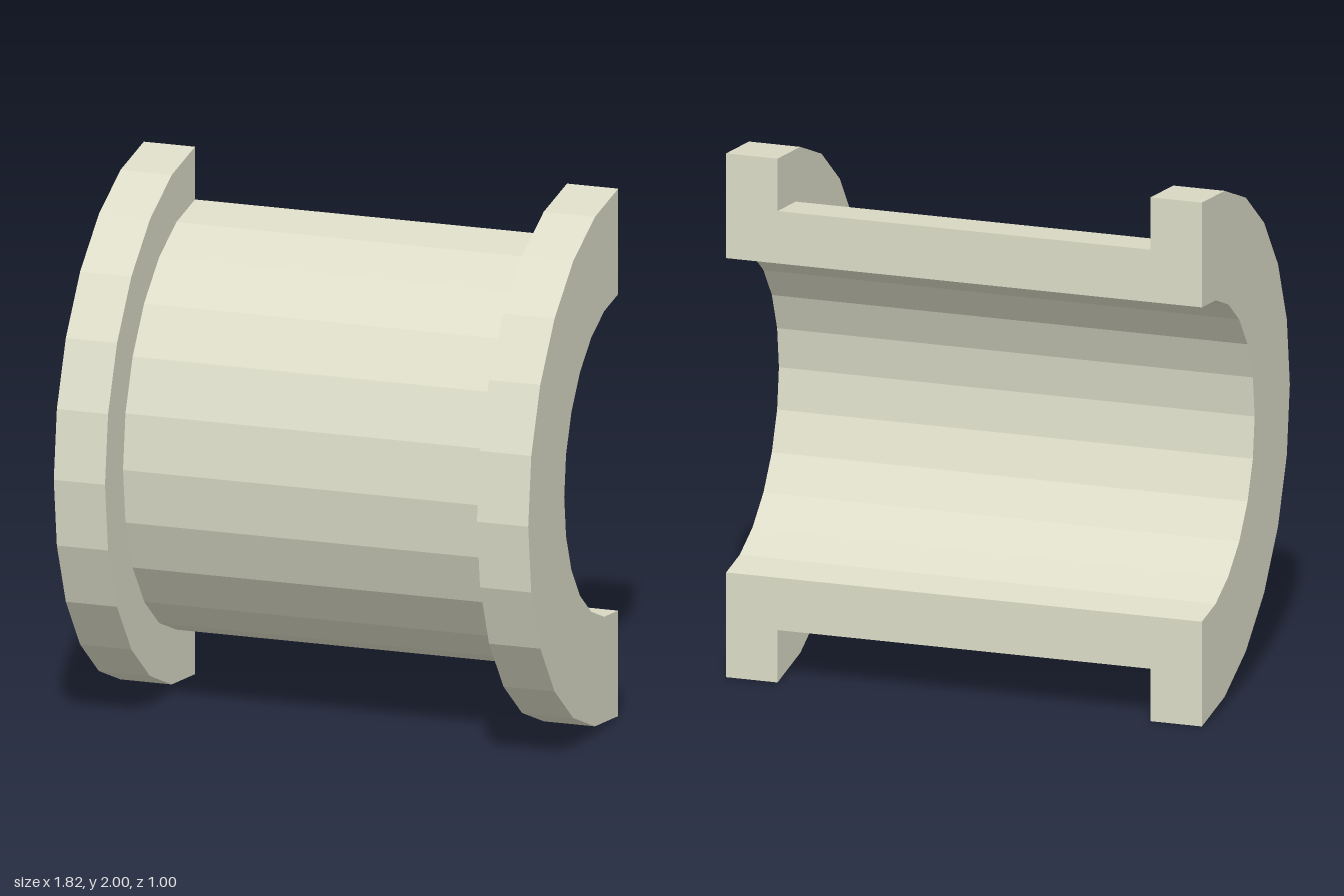
import * as THREE from 'three';

const BORE = 0.6, BODY = 0.8, FLANGE = 1;   // radii
const END = 0.912, SHOULDER = 0.715;        // half lengths along x

export function createModel() {
  const group = new THREE.Group();
  group.name = 'halfBushing';
  const material = new THREE.MeshStandardMaterial({ color: 0xdcdcc8, flatShading: true });

  // Closed wall section as (radius, position along axis)
  const section = [
    [BORE, -END], [FLANGE, -END], [FLANGE, -SHOULDER], [BODY, -SHOULDER],
    [BODY, SHOULDER], [FLANGE, SHOULDER], [FLANGE, END], [BORE, END],
  ].map(([r, a]) => new THREE.Vector2(r, a));

  // Half-turn shell: bore, body and both flanges
  const shellGeometry = new THREE.LatheGeometry([...section, section[0].clone()], 12, -Math.PI / 2, Math.PI)
    .rotateZ(-Math.PI / 2)
    .toNonIndexed();
  shellGeometry.computeVertexNormals();
  const shell = new THREE.Mesh(shellGeometry, material);
  shell.name = 'flangedShell';
  group.add(shell);

  // Flat split faces closing the shell at the back, above and below the bore
  const splitShape = new THREE.Shape(section.map((p) => new THREE.Vector2(p.y, p.x)));
  for (const [name, turn] of [['upperSplitFace', 0], ['lowerSplitFace', Math.PI]]) {
    const geometry = new THREE.ShapeGeometry(splitShape).rotateY(Math.PI).rotateZ(turn);
    const face = new THREE.Mesh(geometry, material);
    face.name = name;
    group.add(face);
  }

  group.position.set(0, FLANGE, -FLANGE / 2);
  return group;
}
